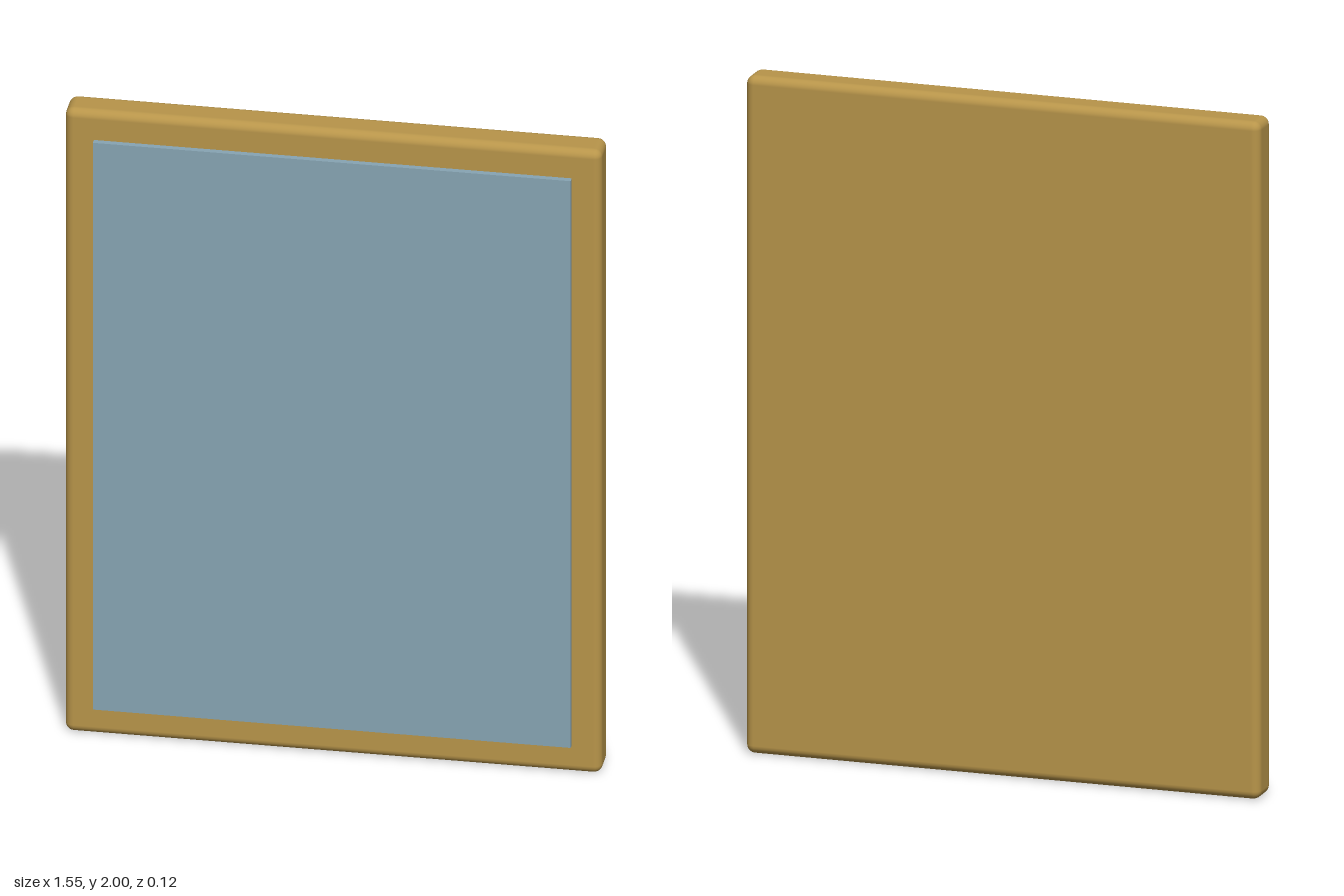
import * as THREE from 'three';
import { RoundedBoxGeometry } from 'three/addons/geometries/RoundedBoxGeometry.js';

export function createModel() {
  const group = new THREE.Group();
  group.name = 'framedPanel';

  const add = (name, geometry, color, z) => {
    const mesh = new THREE.Mesh(geometry, new THREE.MeshStandardMaterial({ color }));
    mesh.name = name;
    mesh.position.set(0, 1, z);
    group.add(mesh);
  };

  // Rounded wooden board, spanning z -0.062 to 0.044
  add('frame', new RoundedBoxGeometry(1.55, 2, 0.106, 3, 0.025), 0xb8954a, -0.009);

  // Thin sheet standing slightly proud of the board's front
  add('panel', new THREE.BoxGeometry(1.38, 1.82, 0.03), 0x87a5b4, 0.047);

  return group;
}
